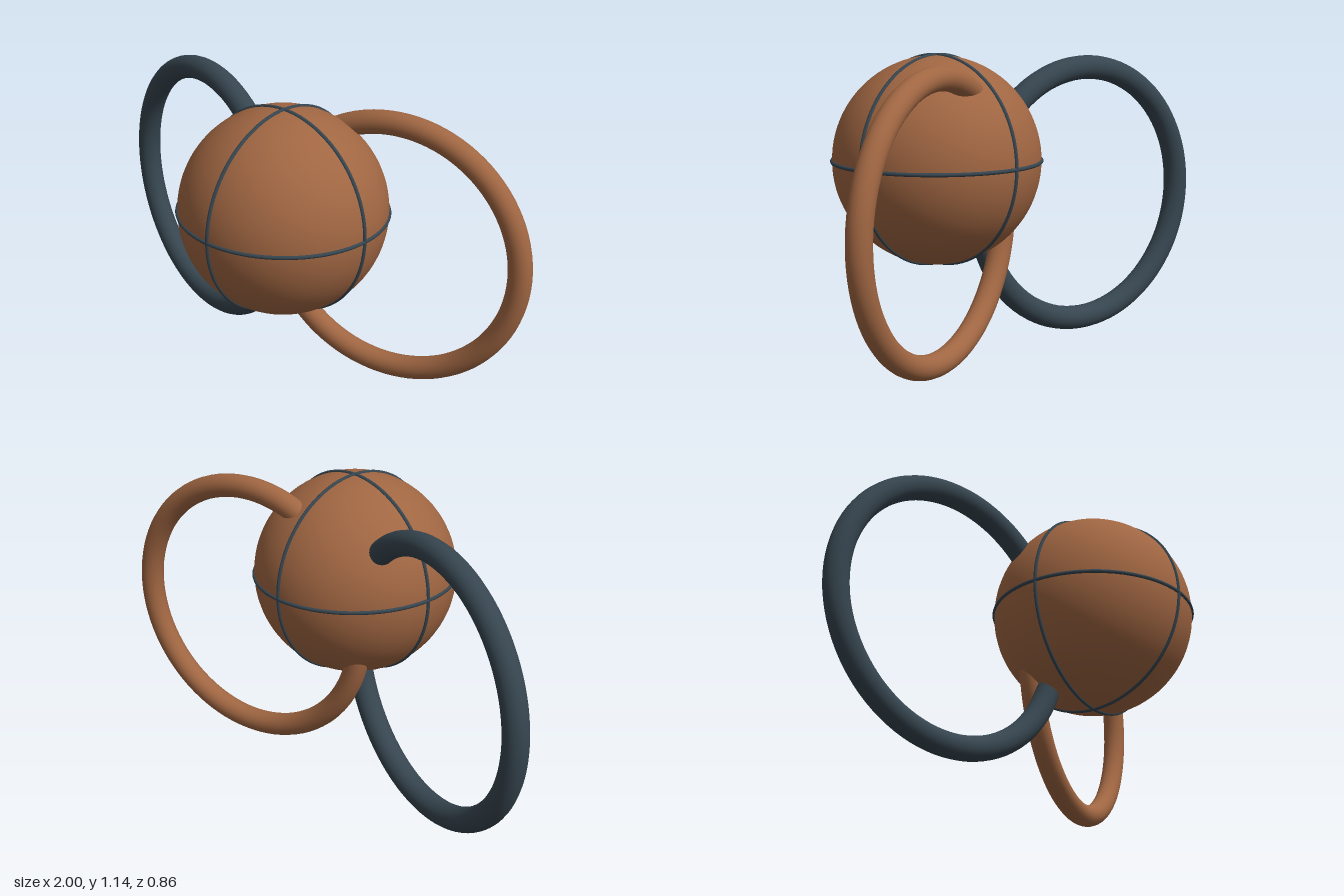
import * as THREE from 'three';

export function createModel() {
  const model = new THREE.Group();
  model.name = 'ballWithRings';

  const brown = new THREE.MeshStandardMaterial({ color: 0xa06642 });
  brown.name = 'leather brown';
  const slate = new THREE.MeshStandardMaterial({ color: 0x36454f });
  slate.name = 'slate grey';

  const add = (parent, name, geometry, material) => {
    const mesh = new THREE.Mesh(geometry, material);
    mesh.name = name;
    parent.add(mesh);
    return mesh;
  };

  // Ball with three raised seams along its great circles
  const ball = new THREE.Group();
  ball.name = 'ball';
  ball.position.set(0.162, 0.735, 0.026);
  model.add(ball);

  const ballRadius = 0.395;
  add(ball, 'ballBody', new THREE.SphereGeometry(ballRadius, 64, 48), brown);

  const seam = new THREE.TorusGeometry(ballRadius, 0.0075, 10, 96);
  add(ball, 'frontSeam', seam, slate);
  add(ball, 'sideSeam', seam, slate).rotation.y = Math.PI / 2;
  add(ball, 'equatorSeam', seam, slate).rotation.x = Math.PI / 2;

  // Two large upright rings that pass through the back of the ball
  const addRing = (name, material, radius, tube, position, turn) => {
    const ring = add(model, name, new THREE.TorusGeometry(radius, tube, 24, 96), material);
    ring.position.set(...position);
    ring.rotation.y = THREE.MathUtils.degToRad(turn);
  };
  addRing('rightRing', slate, 0.508, 0.047, [-0.457, 0.555, -0.192], -12.5);
  addRing('leftRing', brown, 0.507, 0.045, [0.46, 0.567, -0.263], 14);

  return model;
}
